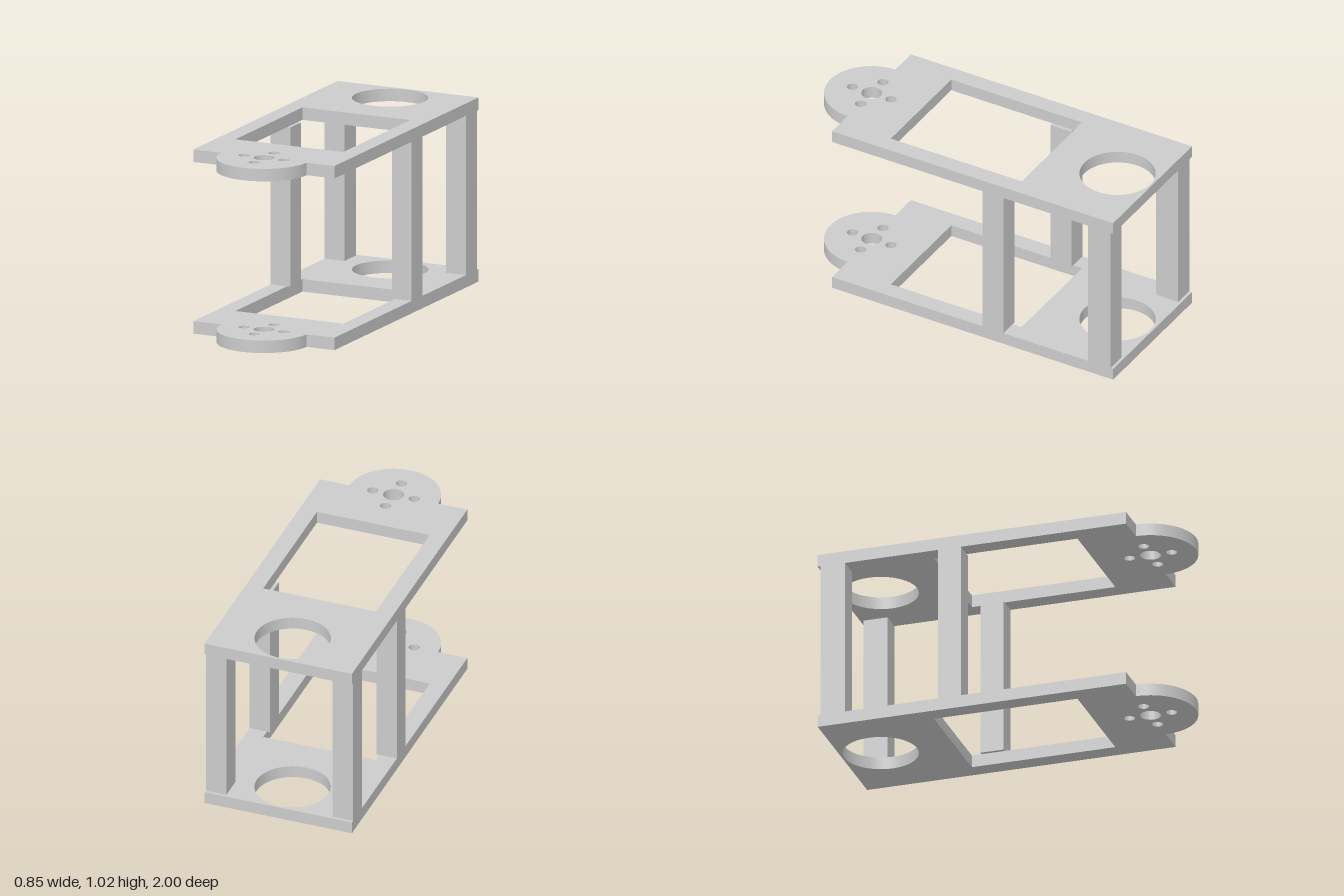
import * as THREE from 'three';
import { toCreasedNormals } from 'three/addons/utils/BufferGeometryUtils.js';

const HALF_W = 0.423, BACK = -1, SHOULDER = 0.745;
const THICK = 0.069, HEIGHT = 1.018;

// Plate outline drawn in plan, with shape y = -z
function plateGeometry() {
  const shape = new THREE.Shape();
  shape.moveTo(-HALF_W, -BACK);
  shape.lineTo(-HALF_W, -SHOULDER);
  shape.lineTo(-0.255, -SHOULDER);
  shape.absarc(0, -SHOULDER, 0.255, Math.PI, Math.PI * 2, false); // rounded front tab
  shape.lineTo(HALF_W, -SHOULDER);
  shape.lineTo(HALF_W, -BACK);
  shape.closePath();

  const roundHole = (x, z, r) => {
    const hole = new THREE.Path();
    hole.absarc(x, -z, r, 0, Math.PI * 2, true);
    shape.holes.push(hole);
  };
  roundHole(0, -0.783, 0.205); // large rear opening
  roundHole(0, 0.743, 0.056); // shaft hole
  for (let i = 0; i < 4; i++) { // screw holes around the shaft
    const a = (i * Math.PI) / 2;
    roundHole(0.119 * Math.cos(a), 0.743 + 0.119 * Math.sin(a), 0.03);
  }

  // Rectangular window
  shape.holes.push(new THREE.Path([
    new THREE.Vector2(-0.324, 0.375), new THREE.Vector2(0.324, 0.375),
    new THREE.Vector2(0.324, -0.437), new THREE.Vector2(-0.324, -0.437),
  ]));

  const geo = new THREE.ExtrudeGeometry(shape, { depth: THICK, bevelEnabled: false, curveSegments: 40 });
  geo.rotateX(-Math.PI / 2);
  return toCreasedNormals(geo, 0.5);
}

export function createModel() {
  const group = new THREE.Group();
  const material = new THREE.MeshStandardMaterial({ color: 0xcccccc });
  const add = (name, geo, x, y, z) => {
    const mesh = new THREE.Mesh(geo, material);
    mesh.name = name;
    mesh.position.set(x, y, z);
    group.add(mesh);
  };

  // Identical bottom and top plates
  const plate = plateGeometry();
  add('bottomPlate', plate, 0, 0, 0);
  add('topPlate', plate, 0, HEIGHT - THICK, 0);

  // Four posts between the plates, flush with their sides
  const postW = 0.118;
  const posts = [['middlePost', -0.32, -0.19], ['rearPost', -0.983, -0.845]];
  for (const [name, z0, z1] of posts) {
    const geo = new THREE.BoxGeometry(postW, HEIGHT - 2 * THICK, z1 - z0);
    for (const side of [1, -1]) {
      add(name + (side > 0 ? 'Left' : 'Right'), geo, side * (HALF_W - postW / 2), HEIGHT / 2, (z0 + z1) / 2);
    }
  }
  return group;
}
